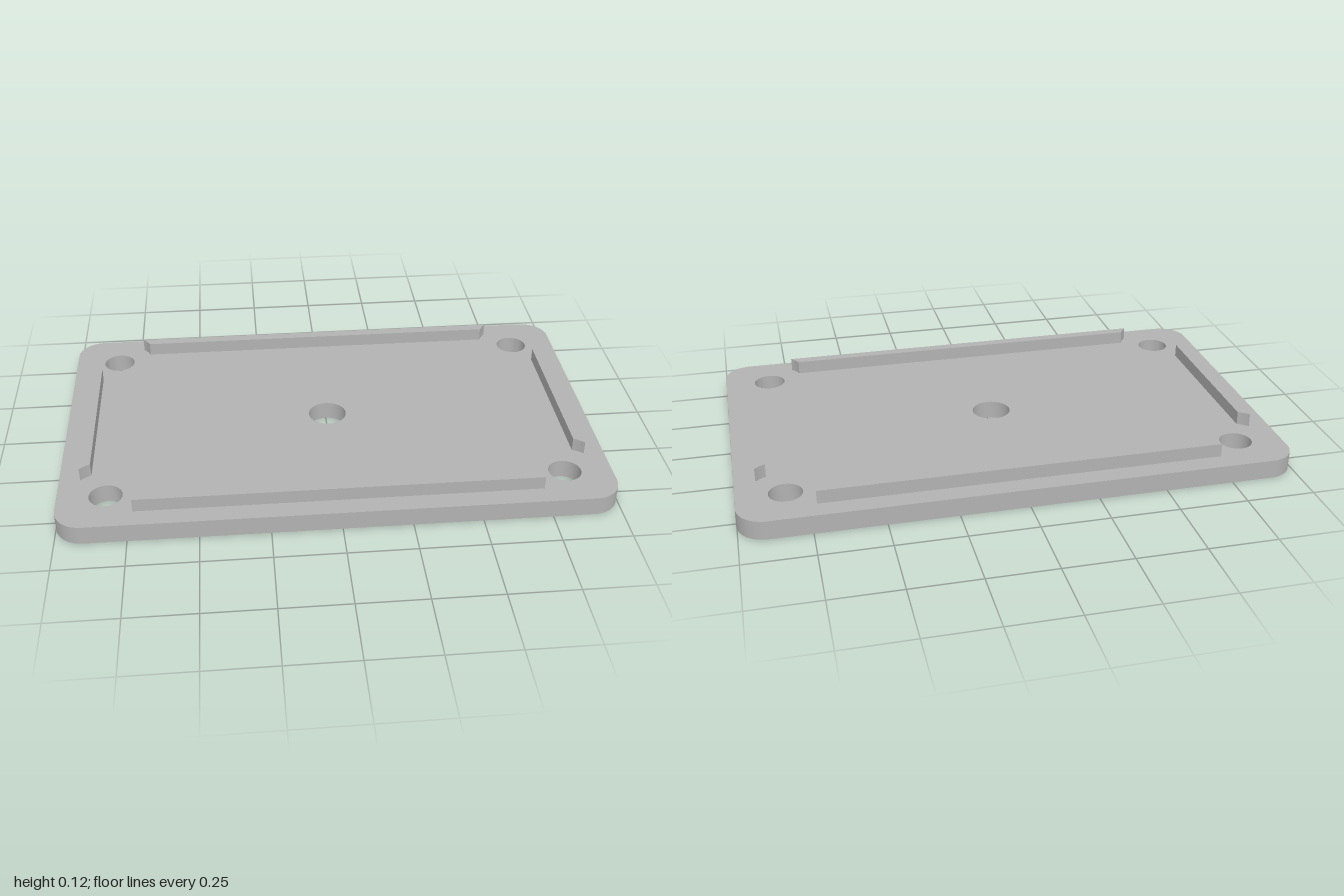
import * as THREE from 'three';
import { toCreasedNormals } from 'three/addons/utils/BufferGeometryUtils.js';

const HALF_X = 1, HALF_Z = 0.62, CORNER = 0.1;
const PLATE_H = 0.07, RIB_H = 0.05;
const HOLE_X = 0.827, HOLE_Z = 0.449, HOLE_R = 0.06, CENTRE_R = 0.072;
const CLEARANCE = 0.138; // rib ends are cut by a circle around each screw hole

// Extrudes a plan outline straight up from y = 0
function extrudeUp(shape, height) {
  const geo = new THREE.ExtrudeGeometry(shape, { depth: height, bevelEnabled: false, curveSegments: 16 });
  geo.rotateX(-Math.PI / 2);
  return toCreasedNormals(geo, Math.PI / 6);
}

// Rounded rectangle with four corner holes and one centre hole
function plateShape() {
  const s = new THREE.Shape();
  const x = HALF_X - CORNER, y = HALF_Z - CORNER;
  [[x, y], [-x, y], [-x, -y], [x, -y]].forEach(([cx, cy], i) => {
    s.absarc(cx, cy, CORNER, i * Math.PI / 2, (i + 1) * Math.PI / 2, false);
  });
  s.closePath();
  const holes = [[0, 0, CENTRE_R]];
  for (const sx of [-1, 1]) for (const sz of [-1, 1]) holes.push([sx * HOLE_X, sz * HOLE_Z, HOLE_R]);
  for (const [hx, hy, r] of holes) {
    s.holes.push(new THREE.Path().absarc(hx, hy, r, 0, Math.PI * 2, true));
  }
  return s;
}

// Straight rib between two holes, its ends curved around them
function ribShape(holeAlong, holeAcross, inner, outer) {
  const angle = (b) => Math.asin((b - holeAcross) / CLEARANCE);
  const a0 = angle(inner), a1 = angle(outer);
  const s = new THREE.Shape();
  s.absarc(holeAlong, holeAcross, CLEARANCE, Math.PI - a0, Math.PI - a1, true);
  s.absarc(-holeAlong, holeAcross, CLEARANCE, a1, a0, true);
  s.closePath();
  return s;
}

export function createModel() {
  const model = new THREE.Group();
  model.name = 'coverPlate';
  const grey = new THREE.MeshStandardMaterial({ color: 0xb2b2b2 });
  grey.name = 'plain grey';

  const add = (name, geo, y = 0, turn = 0) => {
    const mesh = new THREE.Mesh(geo, grey);
    mesh.name = name;
    mesh.position.y = y;
    mesh.rotation.y = turn;
    model.add(mesh);
  };

  add('plate', extrudeUp(plateShape(), PLATE_H));

  // Locating ribs along the four edges
  const longRib = extrudeUp(ribShape(HOLE_X, HOLE_Z, 0.507, 0.546), RIB_H);
  const shortRib = extrudeUp(ribShape(HOLE_Z, HOLE_X, 0.886, 0.924), RIB_H);
  add('backRib', longRib, PLATE_H, 0);
  add('frontRib', longRib, PLATE_H, Math.PI);
  add('rightRib', shortRib, PLATE_H, Math.PI / 2);
  add('leftRib', shortRib, PLATE_H, -Math.PI / 2);

  return model;
}
